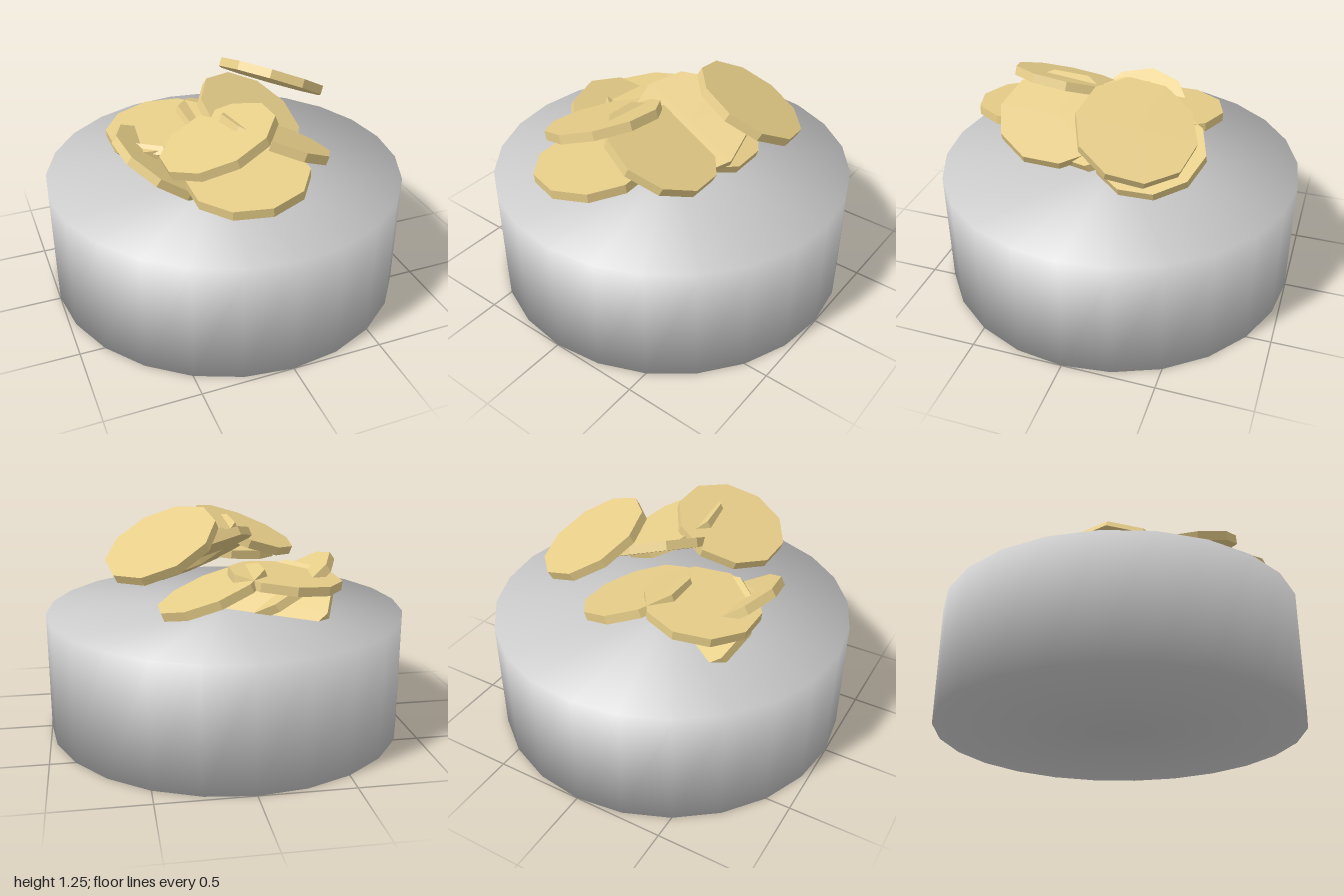
import * as THREE from 'three';
import { mergeVertices } from 'three/addons/utils/BufferGeometryUtils.js';

const UP = new THREE.Vector3(0, 1, 0);

// Drum with normals shared across the rim, so the shading rolls over its edges
function makeBase() {
  const height = 0.67;
  let geometry = new THREE.CylinderGeometry(1, 1, height, 24);
  geometry.translate(0, height / 2, 0);
  geometry.deleteAttribute('normal');
  geometry.deleteAttribute('uv');
  geometry = mergeVertices(geometry);
  geometry.computeVertexNormals();
  const base = new THREE.Mesh(geometry, new THREE.MeshStandardMaterial({ color: 0xcccccc }));
  base.name = 'base';
  return base;
}

// Ten-sided discs: centre, direction the upper face points, turn about the axis
const DISCS = [
  { name: 'topDisc', at: [0.37, 1.08, -0.2], facing: [0.4, 0.87, -0.28], turn: 8 },
  { name: 'backDisc', at: [0.1, 0.81, -0.2], facing: [0.36, 0.93, 0.03], turn: 0 },
  { name: 'middleDisc', at: [0.14, 0.97, 0.03], facing: [0.35, 0.85, 0.38], turn: 10 },
  { name: 'frontRightDisc', at: [0.17, 0.97, 0.31], facing: [0.42, 0.9, -0.12], turn: 4 },
  { name: 'frontLeftDisc', at: [-0.17, 1.04, 0.365], facing: [-0.35, 0.93, -0.1], turn: -2 },
  { name: 'frontDisc', at: [-0.08, 0.9, 0.55], facing: [-0.1, 0.99, 0.05], turn: 0 },
  { name: 'backLeftDisc', at: [-0.3, 0.87, -0.2], facing: [-0.1, 0.99, 0], turn: 0 },
  { name: 'leftDisc', at: [-0.36, 0.77, 0.01], facing: [0.55, 0.83, 0.08], turn: 12 },
  { name: 'lowLeftDisc', at: [-0.28, 0.71, -0.14], facing: [0.33, 0.8, -0.45], turn: 10 },
];

export function createModel() {
  const model = new THREE.Group();
  model.name = 'discPile';
  model.add(makeBase());

  // Pile of loose discs
  const discGeometry = new THREE.CylinderGeometry(0.315, 0.315, 0.05, 10);
  const discMaterial = new THREE.MeshStandardMaterial({ color: 0xe6cd88, flatShading: true });
  for (const { name, at, facing, turn } of DISCS) {
    const disc = new THREE.Mesh(discGeometry, discMaterial);
    disc.name = name;
    disc.position.set(...at);
    disc.quaternion.setFromUnitVectors(UP, new THREE.Vector3(...facing).normalize());
    disc.rotateY(THREE.MathUtils.degToRad(turn));
    model.add(disc);
  }
  return model;
}
